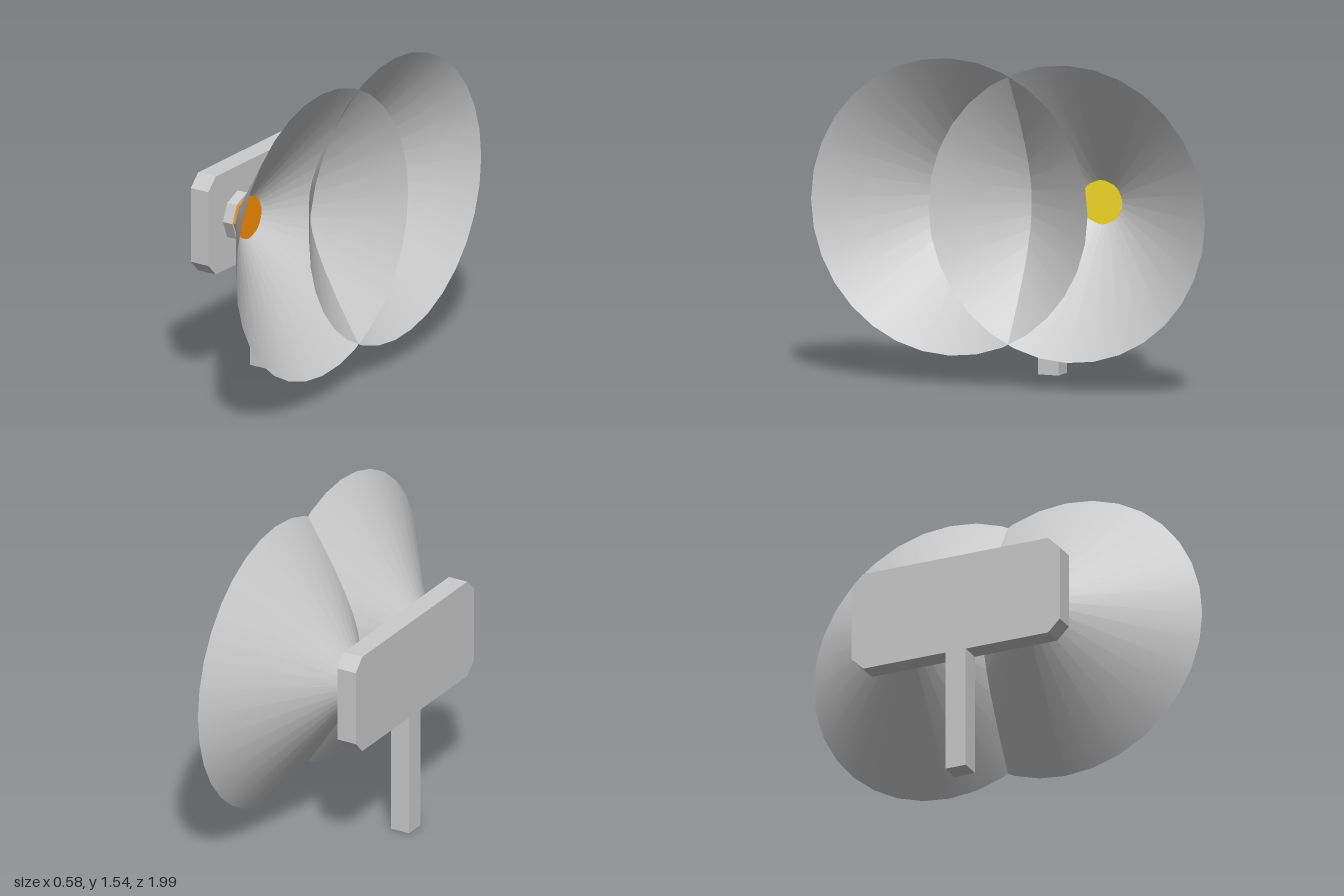
import * as THREE from 'three';

const grey = new THREE.MeshStandardMaterial({ color: 0xcccccc, flatShading: true });
const beamMaterial = new THREE.MeshStandardMaterial({ color: 0xcccccc, side: THREE.DoubleSide });

const BACK = -0.29, FRONT = -0.19; // panel thickness along x
const MID_Y = 0.84;                // height of the lamps

function add(parent, name, geometry, material = grey) {
  const mesh = new THREE.Mesh(geometry, material);
  mesh.name = name;
  parent.add(mesh);
  return mesh;
}

function box(x0, x1, y0, y1, z0, z1) {
  return new THREE.BoxGeometry(x1 - x0, y1 - y0, z1 - z0)
    .translate((x0 + x1) / 2, (y0 + y1) / 2, (z0 + z1) / 2);
}

// Octagonal disc lying along x
function disc(radius, x0, x1) {
  return new THREE.CylinderGeometry(radius, radius, x1 - x0, 8)
    .rotateZ(-Math.PI / 2).translate((x0 + x1) / 2, 0, 0);
}

// Board with chamfered corners, extruded along x
function panelGeometry() {
  const w = 0.535, h = 0.243, c = 0.06;
  const outline = [[w, h - c], [w - c, h], [c - w, h], [-w, h - c],
    [-w, c - h], [c - w, -h], [w - c, -h], [w, c - h]];
  const shape = new THREE.Shape(outline.map(([a, b]) => new THREE.Vector2(a, b)));
  return new THREE.ExtrudeGeometry(shape, { depth: FRONT - BACK, bevelEnabled: false })
    .rotateY(Math.PI / 2).translate(BACK, MID_Y, 0);
}

// Lamp housing, coloured lens and its open cone of light
function createLamp(name, z, color) {
  const lamp = new THREE.Group();
  lamp.name = name;
  lamp.position.set(0, MID_Y, z);
  add(lamp, 'housing', disc(0.12, FRONT, -0.137));
  add(lamp, 'lens', disc(0.11, -0.137, -0.127),
    new THREE.MeshStandardMaterial({ color, flatShading: true }));
  const length = 0.49;
  add(lamp, 'lightCone',
    new THREE.ConeGeometry(0.7, length, 32, 1, true)
      .rotateZ(Math.PI / 2).translate(0.29 - length / 2, 0, 0), beamMaterial);
  return lamp;
}

export function createModel() {
  const model = new THREE.Group();
  model.name = 'twinLampSignal';
  add(model, 'panel', panelGeometry());
  add(model, 'post', box(BACK, FRONT, 0, 0.6, -0.052, 0.052));
  // Small block between the lamps
  add(model, 'centreBlock', box(FRONT, -0.143, MID_Y - 0.052, MID_Y + 0.052, -0.052, 0.052));
  model.add(createLamp('frontLamp', 0.297, 0xf98c00));
  model.add(createLamp('backLamp', -0.297, 0xf9dc28));
  return model;
}
